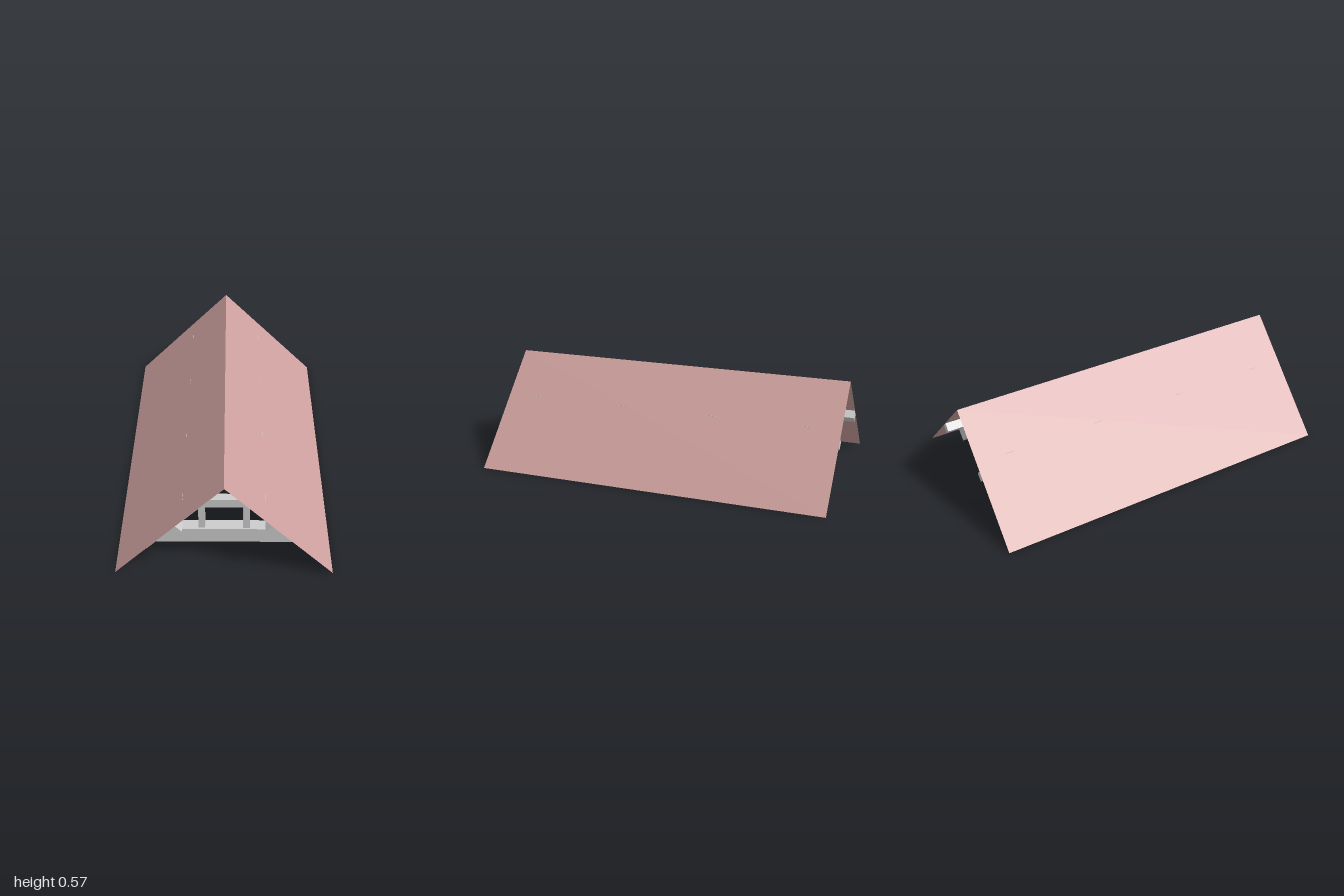
import * as THREE from 'three';

const APEX = 0.566;   // ridge height, also half the roof width (45 degree pitch)
const LENGTH = 2;

export function createModel() {
  const model = new THREE.Group();
  model.name = 'roof';
  const wood = new THREE.MeshStandardMaterial({ color: 0xcccccc, flatShading: true });
  const tiles = new THREE.MeshStandardMaterial({ color: 0xcc9f9d, flatShading: true, side: THREE.DoubleSide });

  const box = (parent, name, w, h, d, x, y, z = 0) => {
    const mesh = new THREE.Mesh(new THREE.BoxGeometry(w, h, d), wood);
    mesh.name = name;
    mesh.position.set(x, y, z);
    parent.add(mesh);
    return mesh;
  };

  // Rafter pair: one chevron outline, square-cut at the feet
  const top = APEX - 0.002;
  const chevron = new THREE.Shape([
    [0, top], [-0.477, top - 0.477], [-0.415, 0.027], [0, 0.442], [0.415, 0.027], [0.477, top - 0.477],
  ].map(([x, y]) => new THREE.Vector2(x, y)));
  const rafterGeometry = new THREE.ExtrudeGeometry(chevron, { depth: 0.088, bevelEnabled: false });
  rafterGeometry.translate(0, 0, -0.044);

  // Four identical trusses
  for (let i = 0; i < 4; i++) {
    const truss = new THREE.Group();
    truss.name = 'truss' + (i + 1);
    truss.position.z = -0.81 + i * 0.54;
    const rafters = new THREE.Mesh(rafterGeometry, wood);
    rafters.name = 'rafters';
    truss.add(rafters);
    box(truss, 'tieBeam', 0.78, 0.089, 0.07, 0, 0.1175);
    // Collar ends just break through the roof surface
    box(truss, 'collarBeam', 0.43, 0.05, 0.05, 0, 0.328);
    for (const side of [-1, 1]) {
      box(truss, side > 0 ? 'leftPost' : 'rightPost', 0.035, 0.17, 0.05, side * 0.117, 0.235);
    }
    model.add(truss);
  }

  // Each slope: a lengthwise purlin and a thin covering
  for (const side of [-1, 1]) {
    const prefix = side > 0 ? 'left' : 'right';
    const purlin = box(model, prefix + 'Purlin', 0.049, 0.049, LENGTH - 0.002, side * 0.245, 0.285);
    purlin.rotation.z = Math.PI / 4;

    const panel = new THREE.PlaneGeometry(APEX * Math.SQRT2, LENGTH);
    panel.rotateX(-Math.PI / 2).rotateZ(-side * Math.PI / 4);
    const cover = new THREE.Mesh(panel, tiles);
    cover.name = prefix + 'RoofPanel';
    cover.position.set(side * APEX / 2, APEX / 2, 0);
    model.add(cover);
  }
  return model;
}
